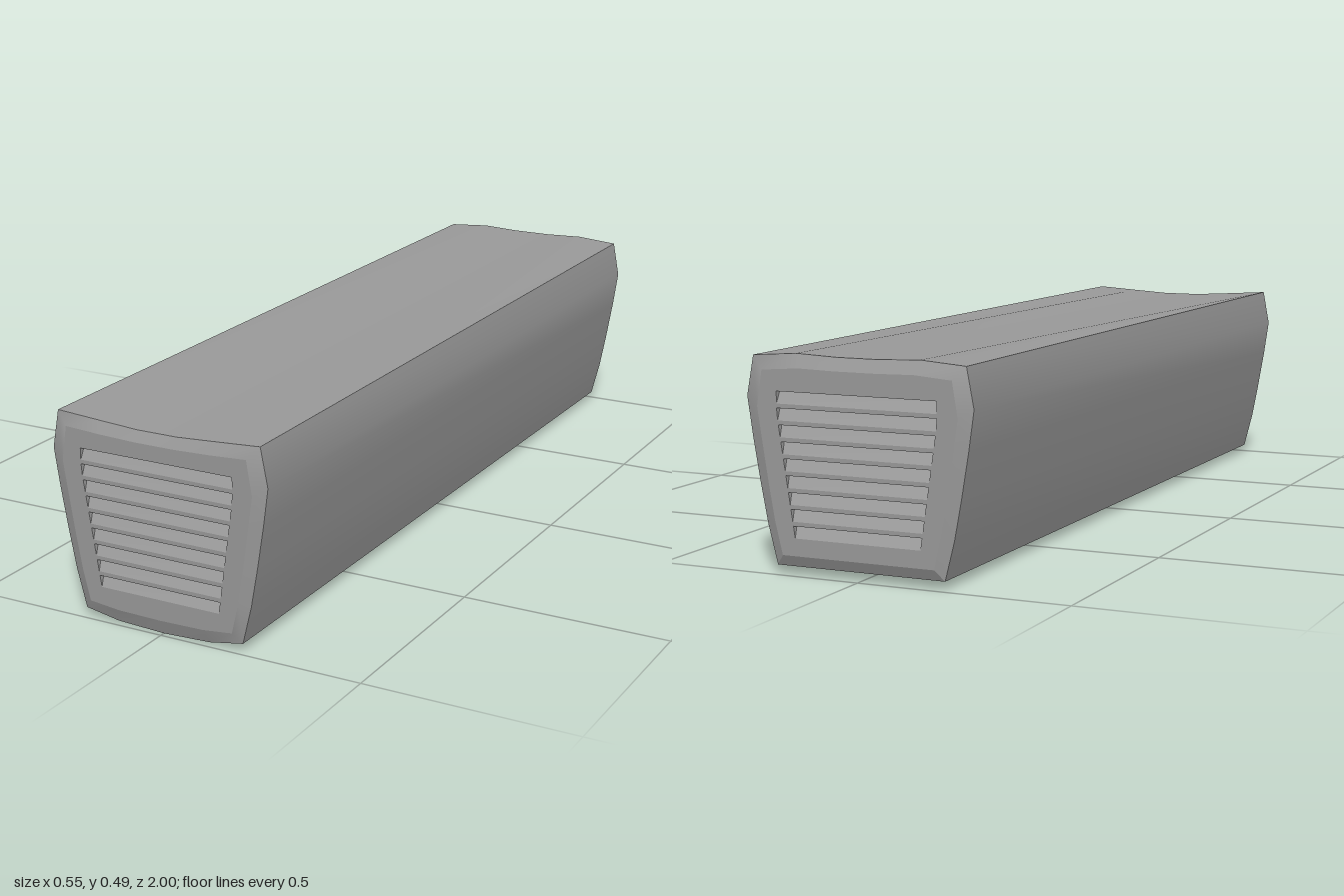
import * as THREE from 'three';
import { toCreasedNormals } from 'three/addons/utils/BufferGeometryUtils.js';

const grey = new THREE.MeshStandardMaterial({ color: 0x999999 });
grey.name = 'grey';

// Right half of each outline, from bottom centre to top centre
const side = [[0.228, 0.11], [0.245, 0.2], [0.262, 0.3], [0.275, 0.39], [0.258, 0.48]];
const innerSide = [[0.203, 0.12], [0.217, 0.2], [0.231, 0.29], [0.243, 0.37], [0.23, 0.45]];
const frontOuter = [[0, 0], [0.12, 0.005], [0.205, 0.02], ...side, [0.15, 0.473], [0.05, 0.467], [0, 0.467]];
const frontInner = [[0, 0.035], [0.11, 0.037], [0.185, 0.045], ...innerSide, [0.14, 0.445], [0.05, 0.442], [0, 0.442]];
const backOuter = [[0, 0.02], [0.12, 0.02], [0.205, 0.02], ...side, [0.15, 0.488], [0.05, 0.484], [0, 0.484]];
const backInner = [[0, 0.045], [0.11, 0.045], [0.185, 0.045], ...innerSide, [0.14, 0.457], [0.05, 0.455], [0, 0.455]];

const mirrorOutline = (half) =>
  [...half, ...half.slice(1, -1).reverse().map(([x, y]) => [-x, y])];

// Triangles through a list of points
function facets(points, faces) {
  const geometry = new THREE.BufferGeometry();
  geometry.setAttribute('position', new THREE.Float32BufferAttribute(points.flat(), 3));
  geometry.setIndex(faces.flat());
  return geometry;
}

// Tube through the sections, bevelled at both ends
function bodyGeometry() {
  const sections = [[frontInner, 1], [frontOuter, 0.988], [backOuter, -0.988], [backInner, -1]];
  const points = [], faces = [];
  const n = mirrorOutline(frontOuter).length;
  sections.forEach(([half, z], s) => {
    mirrorOutline(half).forEach(([x, y], j) => {
      points.push([x, y, z]);
      if (s === sections.length - 1) return;
      const a = s * n + j, b = s * n + (j + 1) % n;
      faces.push([a, a + n, b], [b, a + n, b + n]);
    });
  });
  return toCreasedNormals(facets(points, faces), 0.52);
}

// Louvre slots
const slots = Array.from({ length: 9 }, (_, i) => {
  const hi = 0.405 - i * 0.0367;
  return { lo: hi - 0.027, hi };
});
const slotWidth = (y) => Math.min(0.194, 0.14 + 0.152 * y);

// Sloping slat, with the ledge and cheeks of its pocket
function louvreGeometry({ lo, hi }) {
  const a = slotWidth(lo), b = slotWidth(hi), d = 0.015;
  const points = [[-a, lo, 0], [a, lo, 0], [b, hi, -d], [-b, hi, -d], [b, hi, 0], [-b, hi, 0]];
  const faces = [[0, 1, 2], [0, 2, 3], [4, 5, 3], [4, 3, 2], [1, 4, 2], [0, 3, 5]];
  const geometry = facets(points, faces).toNonIndexed();
  geometry.computeVertexNormals();
  return geometry;
}

function add(parent, name, geometry) {
  const mesh = new THREE.Mesh(geometry, grey);
  mesh.name = name;
  parent.add(mesh);
}

// Slotted end panel with its louvres, facing +z
function endGrille(name, half) {
  const group = new THREE.Group();
  group.name = name;
  const shape = new THREE.Shape(mirrorOutline(half).map(([x, y]) => new THREE.Vector2(x, y)));
  for (const { lo, hi } of slots) {
    const a = slotWidth(lo), b = slotWidth(hi);
    shape.holes.push(new THREE.Path(
      [[-a, lo], [-b, hi], [b, hi], [a, lo]].map(([x, y]) => new THREE.Vector2(x, y))));
  }
  add(group, 'endPanel', new THREE.ShapeGeometry(shape));
  slots.forEach((slot) => add(group, 'louvre', louvreGeometry(slot)));
  return group;
}

export function createModel() {
  const model = new THREE.Group();
  model.name = 'louvredHousing';
  add(model, 'body', bodyGeometry());

  const front = endGrille('frontGrille', frontInner);
  front.position.z = 1;
  const back = endGrille('backGrille', backInner);
  back.position.z = -1;
  back.rotation.y = Math.PI;
  model.add(front, back);
  return model;
}
